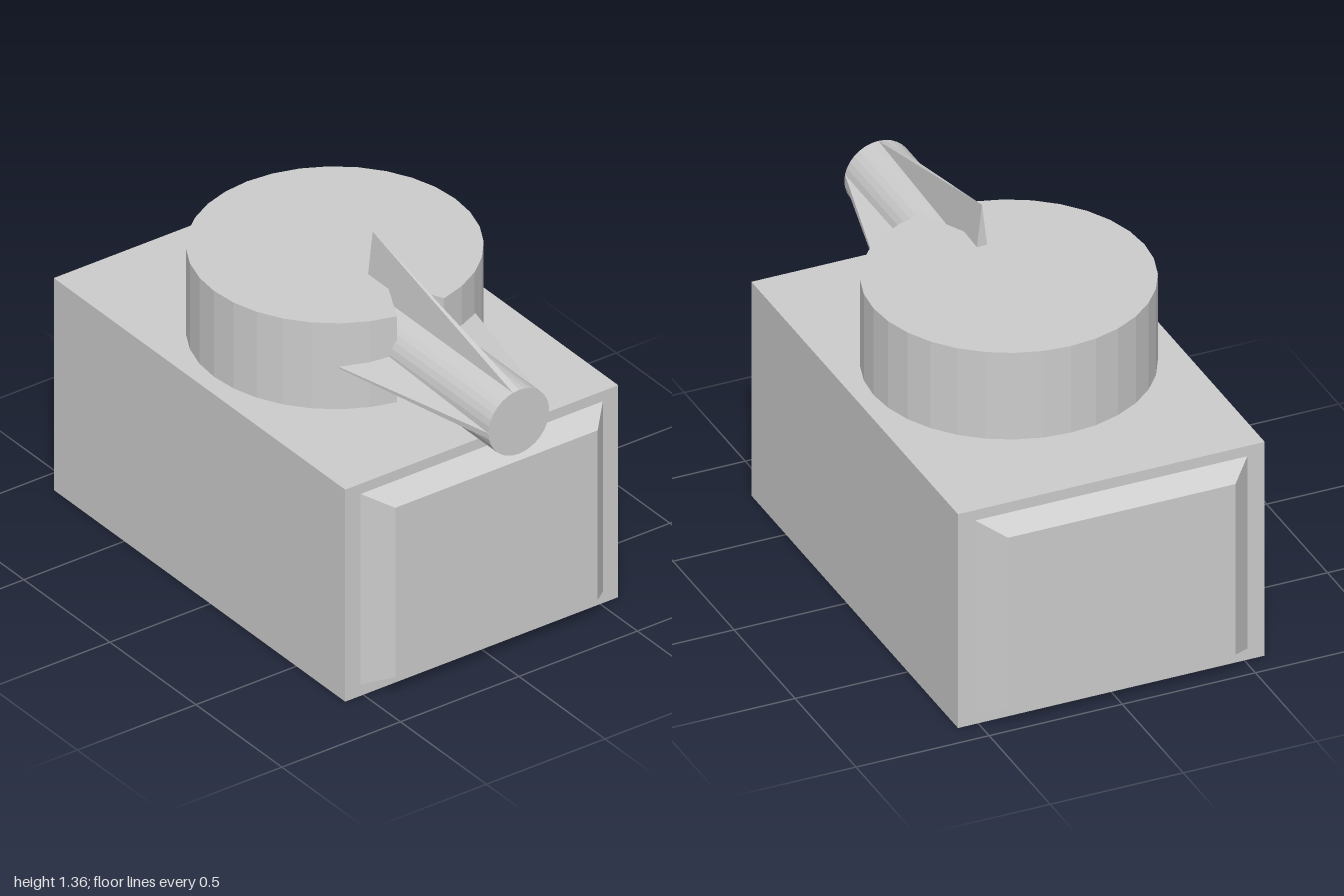
import * as THREE from 'three';

const material = new THREE.MeshStandardMaterial({ color: 0xcccccc, flatShading: true });

// Moves every vertex by a rule, then gives the faces flat normals
function reshape(geometry, rule) {
  const pos = geometry.attributes.position;
  const v = new THREE.Vector3();
  for (let i = 0; i < pos.count; i++) {
    v.fromBufferAttribute(pos, i);
    rule(v);
    pos.setXYZ(i, v.x, v.y, v.z);
  }
  const flat = geometry.toNonIndexed();
  flat.computeVertexNormals();
  return flat;
}

export function createModel() {
  const model = new THREE.Group();
  const add = (name, geometry, x, y, z = 0) => {
    const mesh = new THREE.Mesh(geometry, material);
    mesh.name = name;
    mesh.position.set(x, y, z);
    model.add(mesh);
    return mesh;
  };

  // Main block
  add('body', new THREE.BoxGeometry(1.694, 0.852, 1.152), -0.063, 0.426);

  // Bevelled plates on both ends, narrowing outwards
  for (const side of [1, -1]) {
    const plate = reshape(new THREE.BoxGeometry(0.086, 0.766, 1.022), (v) => {
      if (v.x * side > 0) {
        v.y *= 0.68 / 0.766;
        v.z *= 0.854 / 1.022;
      }
    });
    add(side > 0 ? 'leftEndPlate' : 'rightEndPlate', plate, -0.063 + side * 0.89, 0.428);
  }

  // Round turret with a V notch where the barrel enters
  const turretRadius = 0.509;
  const turret = reshape(new THREE.CylinderGeometry(turretRadius, turretRadius, 0.345, 32), (v) => {
    if (v.x > turretRadius - 0.001) v.x = 0.3;
  });
  add('turret', turret, -0.07, 1.0245);

  // Barrel whose inner rim is drawn out into three thin fins (top and both sides)
  const r = 0.128;
  const length = 0.85;
  const barrelGeometry = new THREE.CylinderGeometry(r, r, length, 32).rotateZ(-Math.PI / 2);
  const barrel = reshape(barrelGeometry, (v) => {
    if (v.x > 0) return;
    if (v.y > r - 0.0005) v.y = 0.338;
    if (Math.abs(v.z) > r - 0.0005) v.z = Math.sign(v.z) * 0.338;
  });
  add('barrel', barrel, 0.575, 1.023);

  return model;
}
